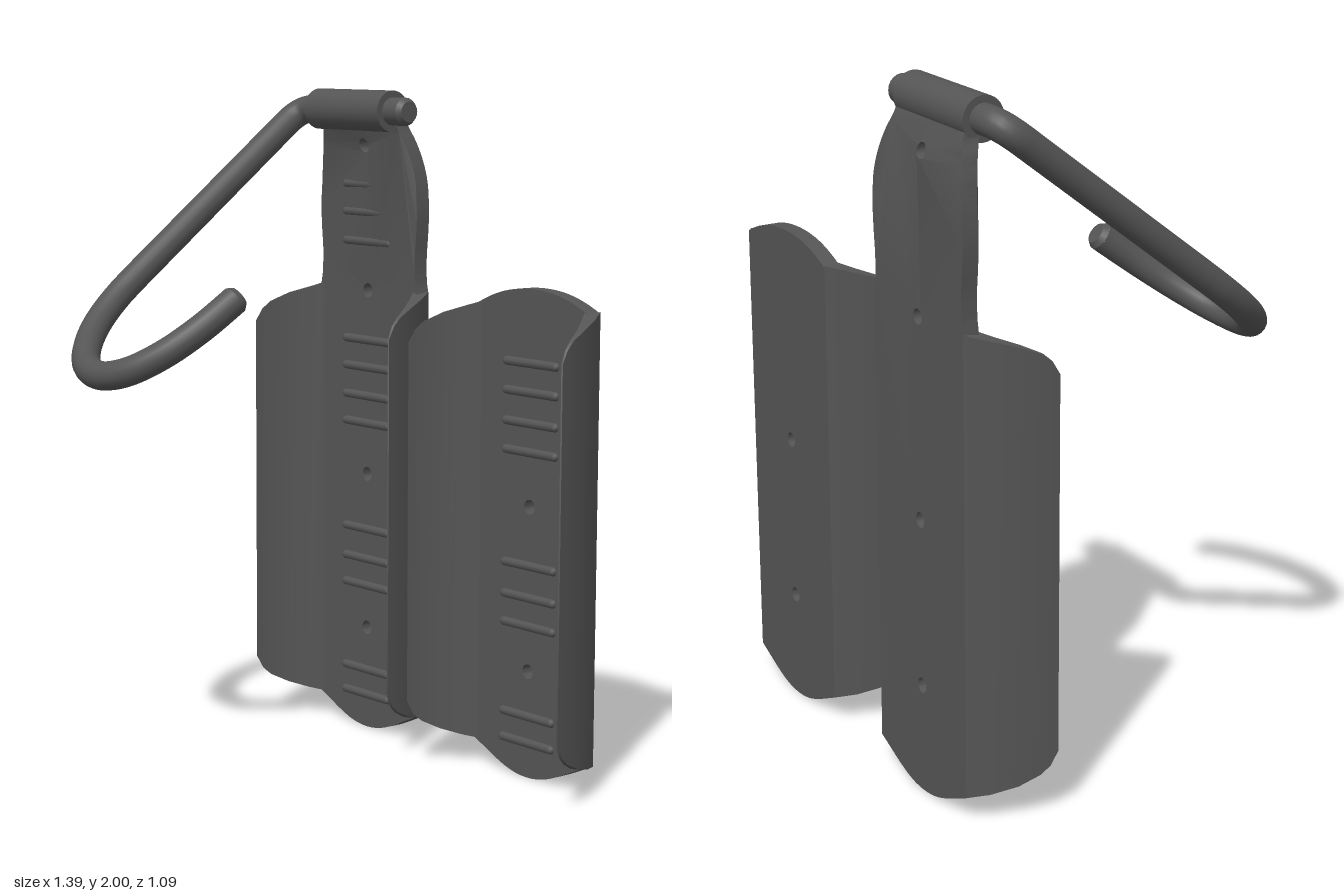
import * as THREE from 'three';
import { toCreasedNormals } from 'three/addons/utils/BufferGeometryUtils.js';

const material = new THREE.MeshStandardMaterial({ color: 0x555555 });
const BACK = -0.545, FRONT = -0.497, PANEL_X = 0.37;
const RIBS = [0.105, 0.185, 0.455, 0.54, 0.635, 0.97, 1.055, 1.145, 1.23];

function add(parent, geometry, name) {
  const mesh = new THREE.Mesh(geometry, material);
  mesh.name = name;
  parent.add(mesh);
  return mesh;
}

// Flat middle plate with screw holes; with a neck it rises and bends forward to the barrel
function plateGeometry(holes, neck) {
  const v = (x, y) => new THREE.Vector2(x, y);
  const shape = new THREE.Shape();
  shape.moveTo(-0.23, 0.075);
  shape.bezierCurveTo(-0.13, 0.03, -0.08, 0, 0, 0);
  shape.bezierCurveTo(0.08, 0, 0.13, 0.03, 0.23, 0.075);
  shape.lineTo(0.23, 1.39);
  if (neck) {
    const side = [[0.222, 1.43], [0.221, 1.5], [0.227, 1.57], [0.23, 1.64],
      [0.224, 1.72], [0.21, 1.79], [0.192, 1.85], [0.176, 1.89], [0.172, 1.93]];
    shape.splineThru(side.map(([x, y]) => v(x, y)));
    shape.lineTo(-0.172, 1.93);
    shape.splineThru(side.slice(0, -1).reverse().map(([x, y]) => v(-x, y)));
    shape.lineTo(-0.23, 1.39);
  } else {
    shape.bezierCurveTo(0.15, 1.43, 0.08, 1.445, 0, 1.445);
    shape.bezierCurveTo(-0.08, 1.445, -0.15, 1.43, -0.23, 1.39);
  }
  shape.closePath();
  for (const y of holes) {
    shape.holes.push(new THREE.Path().absarc(0, y, 0.022, 0, Math.PI * 2, true));
  }
  const geometry = new THREE.ExtrudeGeometry(shape, {
    depth: FRONT - BACK, bevelEnabled: false, curveSegments: 10,
  });
  geometry.translate(0, 0, BACK);
  const p = geometry.attributes.position;
  for (let i = 0; i < p.count; i++) {
    const t = Math.max(0, (p.getY(i) - 1.7) / 0.2);
    p.setZ(i, p.getZ(i) + 0.04 * t * t);
  }
  return toCreasedNormals(geometry, 0.6);
}

// Curved side wing, tapering towards its free edge
function wingGeometry() {
  // outer x, outer z, inner x, inner z, bottom y, top y
  const sections = [
    [0.23, -0.545, 0.215, -0.497, 0.075, 1.395],
    [0.265, -0.49, 0.243, -0.46, 0.085, 1.38],
    [0.298, -0.42, 0.283, -0.405, 0.105, 1.36],
    [0.316, -0.36, 0.308, -0.353, 0.132, 1.335],
    [0.322, -0.332, 0.316, -0.328, 0.155, 1.312],
    [0.326, -0.31, 0.322, -0.308, 0.195, 1.275],
  ];
  const rings = sections.map(([ox, oz, ix, iz, b, t]) =>
    [[ox, b, oz], [ox, t, oz], [ix, t, iz], [ix, b, iz]]);
  const out = [];
  const quad = (a, b, c, d) => out.push(...a, ...b, ...c, ...a, ...c, ...d);
  for (let k = 0; k < rings.length - 1; k++) {
    for (let j = 0; j < 4; j++) {
      const n = (j + 1) % 4;
      quad(rings[k][j], rings[k][n], rings[k + 1][n], rings[k + 1][j]);
    }
  }
  quad(...rings[rings.length - 1]);
  const geometry = new THREE.BufferGeometry();
  geometry.setAttribute('position', new THREE.Float32BufferAttribute(out, 3));
  return toCreasedNormals(geometry, 0.6);
}

function makePanel(name, x, holes, ribs, neck) {
  const panel = new THREE.Group();
  panel.name = name;
  panel.position.x = x;
  add(panel, plateGeometry(holes, neck), 'plate');
  const wing = wingGeometry();
  for (const side of [1, -1]) {
    add(panel, wing, side > 0 ? 'leftWing' : 'rightWing').scale.x = side;
  }
  // Raised grip ribs across the plate
  const rib = new THREE.CapsuleGeometry(0.0135, 0.205, 4, 10);
  rib.rotateZ(Math.PI / 2);
  for (const y of ribs) add(panel, rib, 'rib').position.set(0, y, FRONT);
  return panel;
}

function makeHook() {
  const hook = new THREE.Group();
  hook.name = 'hook';
  const R = 0.042, axisY = 1.938, axisZ = -0.447;
  // Points lie in the sloping plane of the hook: x across, s along the arm
  const at = (x, s) => new THREE.Vector3(x, axisY - 0.736 * s, axisZ + 0.95 * s);
  const path = new THREE.CurvePath();
  path.add(new THREE.LineCurve3(at(-0.135, 0), at(-0.57, 0)));
  path.add(new THREE.QuadraticBezierCurve3(at(-0.57, 0), at(-0.637, 0), at(-0.637, 0.06)));
  path.add(new THREE.LineCurve3(at(-0.637, 0.06), at(-0.637, 0.66)));
  path.add(new THREE.CatmullRomCurve3([
    at(-0.637, 0.66), at(-0.632, 0.74), at(-0.605, 0.83), at(-0.55, 0.91),
    at(-0.465, 0.975), at(-0.36, 1), at(-0.26, 0.975), at(-0.178, 0.905),
    at(-0.125, 0.81), at(-0.1, 0.72), at(-0.096, 0.7),
  ]));
  add(hook, new THREE.TubeGeometry(path, 180, R, 20), 'rod');

  // Chamfered rod ends
  const cap = new THREE.CylinderGeometry(0.031, R, 0.016, 20);
  cap.translate(0, 0.008, 0);
  const up = new THREE.Vector3(0, 1, 0);
  for (const [t, sign] of [[0, -1], [1, 1]]) {
    const end = add(hook, cap, 'rodEnd');
    end.position.copy(path.getPointAt(t));
    end.quaternion.setFromUnitVectors(up, path.getTangentAt(t).multiplyScalar(sign));
  }

  // Hinge barrel around the rod
  const barrel = add(hook, new THREE.CylinderGeometry(0.062, 0.062, 0.35, 32), 'barrel');
  barrel.rotation.z = Math.PI / 2;
  barrel.position.set(-PANEL_X, axisY, axisZ);
  return hook;
}

export function createModel() {
  const model = new THREE.Group();
  model.name = 'wallHook';
  model.add(makePanel('hookPanel', -PANEL_X, [0.32, 0.81, 1.385, 1.83],
    [...RIBS, 1.535, 1.625, 1.71], true));
  model.add(makePanel('lowerPanel', PANEL_X, [0.32, 0.81], RIBS, false));
  model.add(makeHook());
  return model;
}
